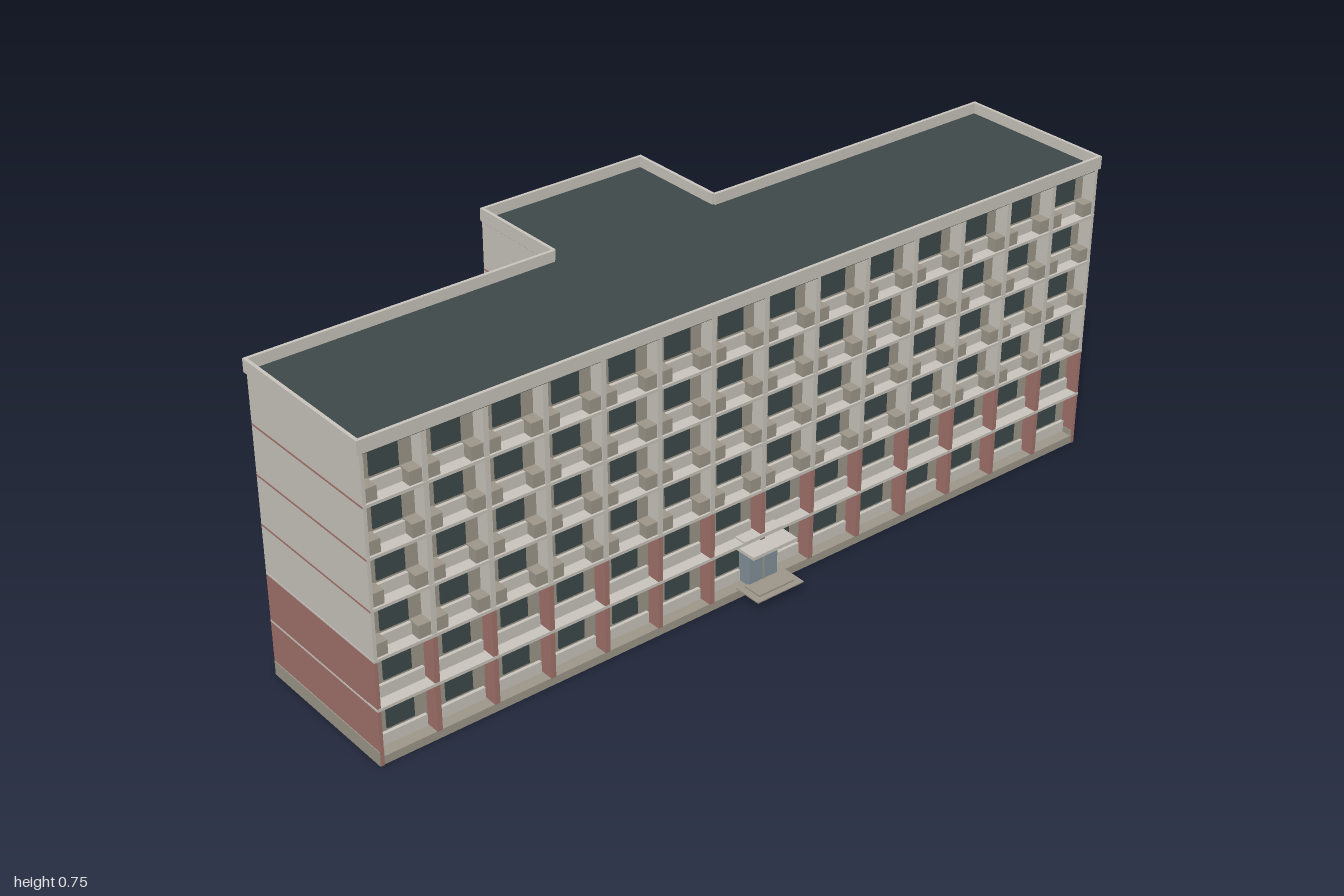
import * as THREE from 'three';

const paint = (name, color) => {
  const m = new THREE.MeshStandardMaterial({ color });
  m.name = name;
  return m;
};

export function createModel() {
  const light = paint('pale concrete', 0xcbc7bf);
  const red = paint('brick red', 0xa3736d);
  const beige = paint('warm grey', 0x9f998b);
  const dark = paint('dark slate', 0x3f4a4b);
  const door = paint('blue grey', 0x84949b);

  const model = new THREE.Group();
  model.name = 'apartmentBlock';
  const section = (name) => {
    const g = new THREE.Group();
    g.name = name;
    model.add(g);
    return g;
  };
  // Box given by its limits on each axis
  const box = (parent, name, mat, x0, x1, y0, y1, z0, z1) => {
    const m = new THREE.Mesh(new THREE.BoxGeometry(x1 - x0, y1 - y0, z1 - z0), mat);
    m.position.set((x0 + x1) / 2, (y0 + y1) / 2, (z0 + z1) / 2);
    m.name = name;
    parent.add(m);
  };

  const FLOORS = 6, STOREY = 0.1175, BASE = 0.018;
  const BAYS = 14, BAY = 0.142, END = 0.994;
  const SPLIT = 0.25, TOP = 0.724;
  const FRONT = 0.3, FRONT_WALL = 0.265, BACK = -0.1, BACK_WALL = -0.04;
  const WING_L = 0.19, WING_R = -0.25, WING_BACK = -0.36;
  const T = 0.008;
  const floorY = (i) => BASE + i * STOREY;

  // Wall that is red for two storeys and pale above
  const twoTone = (g, name, x0, x1, z0, z1) => {
    box(g, name + 'Lower', red, x0, x1, 0, SPLIT, z0, z1);
    box(g, name + 'Upper', light, x0, x1, SPLIT, TOP, z0, z1);
  };
  // Thin joint lines at every floor of a side wall
  const joints = (g, x0, x1, z0, z1) => {
    for (let i = 1; i <= FLOORS; i++) {
      const y = floorY(i);
      box(g, 'floorJoint', i < 3 ? light : red, x0, x1, y - 0.002, y + 0.002, z0, z1);
    }
  };

  // End walls with plinths
  const ends = section('endWalls');
  for (const s of [-1, 1]) {
    const a = s > 0 ? END - T : -END, b = s > 0 ? END : -END + T;
    twoTone(ends, 'endWall', a, b, BACK, FRONT);
    joints(ends, a - 0.001, b + 0.001, BACK, FRONT);
    box(ends, 'endPlinth', beige, a - 0.002, b + 0.002, 0, 0.034, BACK + 0.002, FRONT - 0.002);
  }
  box(ends, 'redUpstand', red, END, END + 0.002, SPLIT + 0.004, 0.275, BACK + 0.003, FRONT_WALL);

  // Front wall with recessed bays
  const front = section('frontFacade');
  box(front, 'frontWall', beige, -END + T, END - T, 0, TOP, FRONT_WALL - T, FRONT_WALL);
  box(front, 'frontPlinth', beige, -END, END, 0, 0.02, FRONT_WALL, FRONT - 0.002);
  for (let b = 0; b <= BAYS; b++) {
    const x = (b - BAYS / 2) * BAY;
    if (b > 0 && b < BAYS) {
      box(front, 'lowerFin', red, x - 0.006, x + 0.006, 0.02, SPLIT, FRONT_WALL, FRONT);
      box(front, 'upperFin', light, x - 0.006, x + 0.006, SPLIT, TOP, FRONT_WALL, FRONT);
    }
    // Small parapet boxes on both sides of each fin
    for (let i = 2; i < FLOORS; i++) {
      const y = floorY(i) + 0.005;
      const x0 = Math.max(x - 0.035, -END + T), x1 = Math.min(x + 0.035, END - T);
      box(front, 'parapetBox', beige, x0, x1, y, y + 0.031, FRONT_WALL, FRONT - 0.003);
    }
    if (b === BAYS) break;
    const c = x + BAY / 2;
    for (let i = 0; i < FLOORS; i++) {
      const y = floorY(i);
      const half = i < 2 ? 0.06 : 0.036;
      box(front, 'frontWindow', dark, c - 0.033, c + 0.033, y + 0.04, y + 0.095, FRONT_WALL, FRONT_WALL + 0.004);
      box(front, 'spandrel', light, c - half, c + half, y + 0.005, y + 0.033, FRONT_WALL, FRONT_WALL + 0.008);
    }
  }
  for (let i = 1; i < FLOORS; i++) {
    const y = floorY(i);
    box(front, 'frontSlab', light, -END, END, y - 0.003, y + 0.004, FRONT_WALL, FRONT + 0.001);
  }

  // Back wing, open underneath
  const wing = section('backWing');
  twoTone(wing, 'wingLeftWall', WING_L - T, WING_L, WING_BACK, BACK_WALL);
  twoTone(wing, 'wingRightWall', WING_R, WING_R + T, WING_BACK, BACK_WALL);
  joints(wing, WING_L - T, WING_L + 0.001, WING_BACK, BACK);
  joints(wing, WING_R - 0.001, WING_R + T, WING_BACK, BACK);
  box(wing, 'wingBackWall', light, WING_R, WING_L, 0, TOP, WING_BACK - 0.002, WING_BACK + T);
  for (let i = 0; i < FLOORS; i++) {
    const y = floorY(i);
    if (i) box(wing, 'wingJoint', beige, WING_R, WING_L, y - 0.0015, y + 0.0015, WING_BACK - 0.003, WING_BACK);
    for (const x of [0.115, 0.02, -0.075, -0.175]) {
      box(wing, 'wingWindow', dark, x - 0.021, x + 0.021, y + 0.041, y + 0.09, WING_BACK - 0.005, WING_BACK);
      box(wing, 'windowSill', light, x - 0.024, x + 0.024, y + 0.037, y + 0.041, WING_BACK - 0.005, WING_BACK);
    }
  }

  // Back galleries between the wing and the end bays
  const back = section('backGalleries');
  const GALLERY_END = END - 0.09;
  const sides = [
    { s: 1, x0: WING_L, x1: GALLERY_END, windows: [0.3, 0.45, 0.605, 0.76], doorX: 0.87 },
    { s: -1, x0: -GALLERY_END, x1: WING_R, windows: [-0.335, -0.46, -0.755, -0.86], doorX: -0.61 },
  ];
  for (const { s, x0, x1, windows, doorX } of sides) {
    box(back, 'galleryWall', beige, x0, x1, 0.03, TOP, BACK_WALL, BACK_WALL + T);
    // Flush end bay with its inner return
    const e0 = s > 0 ? GALLERY_END : -END, e1 = s > 0 ? END : -GALLERY_END;
    twoTone(back, 'endBay', e0, e1, BACK - 0.001, BACK + T);
    const r0 = s > 0 ? e0 : e1 - T;
    twoTone(back, 'endBayReturn', r0, r0 + T, BACK, BACK_WALL + T);
    const ec = (e0 + e1) / 2;
    for (let i = 0; i < FLOORS; i++) {
      const y = floorY(i), mat = i < 2 ? red : light;
      box(back, 'endBayWindow', dark, ec - 0.019, ec + 0.019, y + 0.041, y + 0.09, BACK - 0.004, BACK);
      if (i) box(back, 'endBayJoint', i < 3 ? light : red, e0, e1, y - 0.002, y + 0.002, BACK - 0.002, BACK);
      box(back, 'gallerySlab', beige, x0, x1, y + 0.002, y + 0.012, BACK, BACK_WALL);
      box(back, 'galleryParapet', mat, x0, x1, y + 0.002, y + 0.044, BACK - 0.002, BACK + 0.005);
      for (const x of windows)
        box(back, 'galleryWindow', dark, x - 0.033, x + 0.033, y + 0.042, y + 0.098, BACK_WALL - 0.004, BACK_WALL);
      box(back, 'galleryDoor', dark, doorX - 0.03, doorX + 0.03, y + 0.012, y + 0.1, BACK_WALL - 0.005, BACK_WALL);
    }
  }

  // Roof deck and raised edge
  const roof = section('roof');
  box(roof, 'mainDeck', dark, -END, END, TOP - 0.004, TOP + 0.004, BACK, FRONT);
  box(roof, 'wingDeck', dark, WING_R, WING_L, TOP - 0.004, TOP + 0.004, WING_BACK, BACK);
  const edge = (x0, x1, z0, z1) => box(roof, 'roofEdge', light, x0, x1, TOP - 0.001, 0.754, z0, z1);
  edge(-1, 1, FRONT - 0.005, FRONT + 0.003);
  edge(-1, -0.992, BACK - 0.003, FRONT);
  edge(0.992, 1, BACK - 0.003, FRONT);
  edge(-1, WING_R, BACK - 0.003, BACK + 0.005);
  edge(WING_L, 1, BACK - 0.003, BACK + 0.005);
  edge(WING_R - 0.003, WING_R + 0.005, WING_BACK - 0.004, BACK);
  edge(WING_L - 0.005, WING_L + 0.003, WING_BACK - 0.004, BACK);
  edge(WING_R, WING_L, WING_BACK - 0.004, WING_BACK + 0.004);

  // Entrance with steps and canopy
  const entrance = section('entrance');
  box(entrance, 'door', door, -0.04, 0.04, 0.024, 0.12, FRONT_WALL, FRONT + 0.004);
  box(entrance, 'doorPost', beige, -0.002, 0.002, 0.024, 0.12, FRONT, FRONT + 0.006);
  box(entrance, 'canopy', light, -0.063, 0.063, 0.12, 0.128, FRONT_WALL - 0.012, 0.343);
  box(entrance, 'canopyTop', light, -0.055, 0.055, 0.138, 0.144, FRONT_WALL, FRONT + 0.004);
  box(entrance, 'upperStep', beige, -0.05, 0.05, 0.024, 0.028, FRONT, 0.35);
  box(entrance, 'lowerStep', beige, -0.066, 0.066, 0.021, 0.024, FRONT - 0.01, 0.364);

  return model;
}
